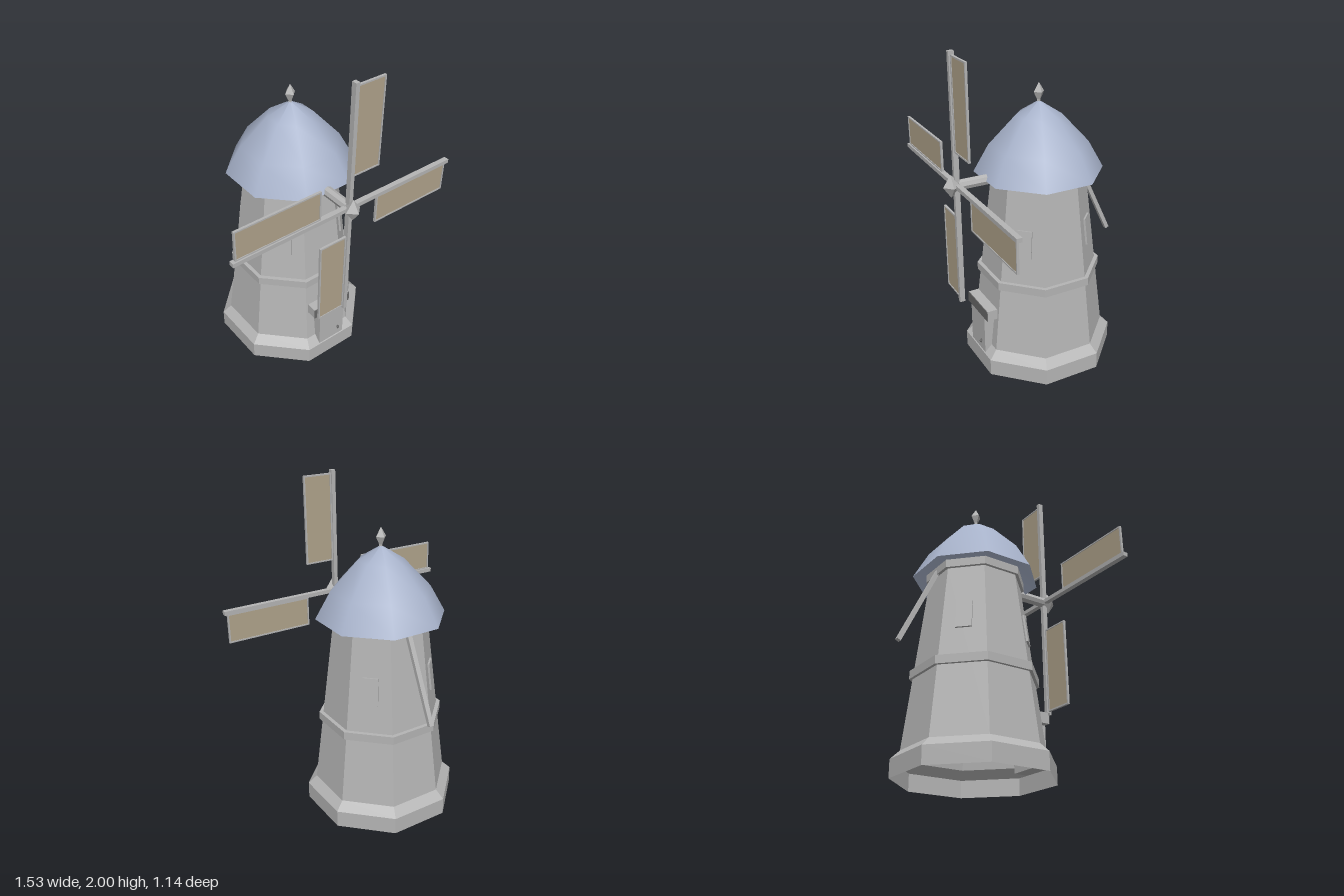
import * as THREE from 'three';

const TOWER_Z = -0.045;
const HUB_Y = 1.235;
const SAIL_Z = 0.487;

function material(name, color, options = {}) {
  const m = new THREE.MeshStandardMaterial({ color, ...options });
  m.name = name;
  return m;
}

export function createModel() {
  const stone = material('stone grey', 0xb4b4b4, { flatShading: true, side: THREE.DoubleSide });
  const dark = material('dark grey', 0x686868, { flatShading: true });
  const slate = material('slate blue', 0xa8b3cb, { side: THREE.DoubleSide });
  const canvas = material('sail canvas', 0xafa28a);

  const model = new THREE.Group();
  model.name = 'windmill';

  function add(parent, name, geometry, mat, x = 0, y = 0, z = 0) {
    const mesh = new THREE.Mesh(geometry, mat);
    mesh.name = name;
    mesh.position.set(x, y, z);
    parent.add(mesh);
    return mesh;
  }
  const box = (w, h, d) => new THREE.BoxGeometry(w, h, d);

  // Eight-sided lathe; profile pairs are [distance to flat, height]
  function octagon(profile) {
    const k = 1 / Math.cos(Math.PI / 8);
    const points = profile.map(([a, y]) => new THREE.Vector2(a * k, y));
    return new THREE.LatheGeometry(points, 8, Math.PI / 8);
  }
  // Four-sided spindle with corners on the axes
  function spindle(profile) {
    return new THREE.LatheGeometry(profile.map(([r, y]) => new THREE.Vector2(r, y)), 4);
  }

  // Tapered tower, open underneath
  add(model, 'base', octagon([[0.435, 0], [0.435, 0.105], [0.385, 0.155]]), stone, 0, 0, TOWER_Z);
  add(model, 'tower', octagon([[0.385, 0.155], [0.265, 1.2]]), stone, 0, 0, TOWER_Z);
  add(model, 'band', octagon([[0.325, 0.57], [0.355, 0.57], [0.355, 0.62], [0.325, 0.62]]),
    stone, 0, 0, TOWER_Z);
  add(model, 'topRing', octagon([[0.262, 1.2], [0.283, 1.2], [0.283, 1.25], [0.262, 1.25]]),
    stone, 0, 0, TOWER_Z);

  // Domed cap and finial
  add(model, 'roof', octagon([[0.36, 1.235], [0.275, 1.4], [0.125, 1.575], [0, 1.66]]),
    slate, 0, 0, TOWER_Z);
  add(model, 'finial', spindle([[0.012, 1.64], [0.012, 1.665], [0.034, 1.71], [0, 1.765]]),
    stone, 0, 0, TOWER_Z);

  // Leaning window panels on the four diagonal walls
  for (let i = 0; i < 4; i++) {
    const pivot = new THREE.Group();
    pivot.name = 'window' + (i + 1);
    pivot.position.z = TOWER_Z;
    pivot.rotation.y = Math.PI / 4 + i * Math.PI / 2;
    const pane = add(pivot, 'windowPanel', box(0.095, 0.17, 0.024), stone, 0, 0.875, 0.302);
    pane.rotation.x = -Math.atan2(0.12, 1.045);
    model.add(pivot);
  }

  // Doorway with lintel and knob
  add(model, 'door', box(0.19, 0.26, 0.09), stone, 0, 0.235, 0.34);
  add(model, 'lintel', box(0.275, 0.066, 0.065), stone, 0, 0.396, 0.348);
  add(model, 'lintelFace', box(0.275, 0.066, 0.005), dark, 0, 0.396, 0.383);
  add(model, 'doorKnob', spindle([[0, -0.018], [0.012, 0], [0, 0.018]]), dark, 0.05, 0.175, 0.392);

  // Tail pole sloping down behind the cap
  const start = new THREE.Vector3(0, 1.24, -0.31);
  const end = new THREE.Vector3(0, 0.725, -0.556);
  const pole = add(model, 'tailPole', box(0.028, start.distanceTo(end), 0.025), stone);
  pole.position.copy(start).add(end).multiplyScalar(0.5);
  pole.rotation.x = Math.atan2(start.z - end.z, start.y - end.y);

  // Wind shaft and pointed hub
  const shaft = add(model, 'windShaft', new THREE.CylinderGeometry(0.032, 0.032, 0.42, 8),
    stone, 0, HUB_Y, 0.27);
  shaft.rotation.x = Math.PI / 2;
  const hub = add(model, 'hub', spindle([[0, 0], [0.022, 0], [0.05, 0.045], [0, 0.093]]),
    stone, 0, HUB_Y, 0.476);
  hub.rotation.x = Math.PI / 2;
  hub.scale.z = 1.4;

  // Four arms, each with a framed canvas sail on its clockwise side
  const rim = 0.009;
  for (let i = 0; i < 4; i++) {
    const arm = new THREE.Group();
    arm.name = 'sail' + (i + 1);
    arm.position.set(0, HUB_Y, SAIL_Z);
    arm.rotation.z = -i * Math.PI / 2;
    add(arm, 'spar', box(0.025, 0.766, 0.032), stone, 0, 0.383, 0);
    add(arm, 'canvas', box(0.175, 0.53, 0.006), canvas, 0.106, 0.474, 0);
    for (const x of [0.0165, 0.1945]) {
      add(arm, 'frameSide', box(rim, 0.546, 0.014), stone, x, 0.474, 0);
    }
    for (const y of [0.2055, 0.7425]) {
      add(arm, 'frameEnd', box(0.178, rim, 0.014), stone, 0.106, y, 0);
    }
    model.add(arm);
  }

  return model;
}
